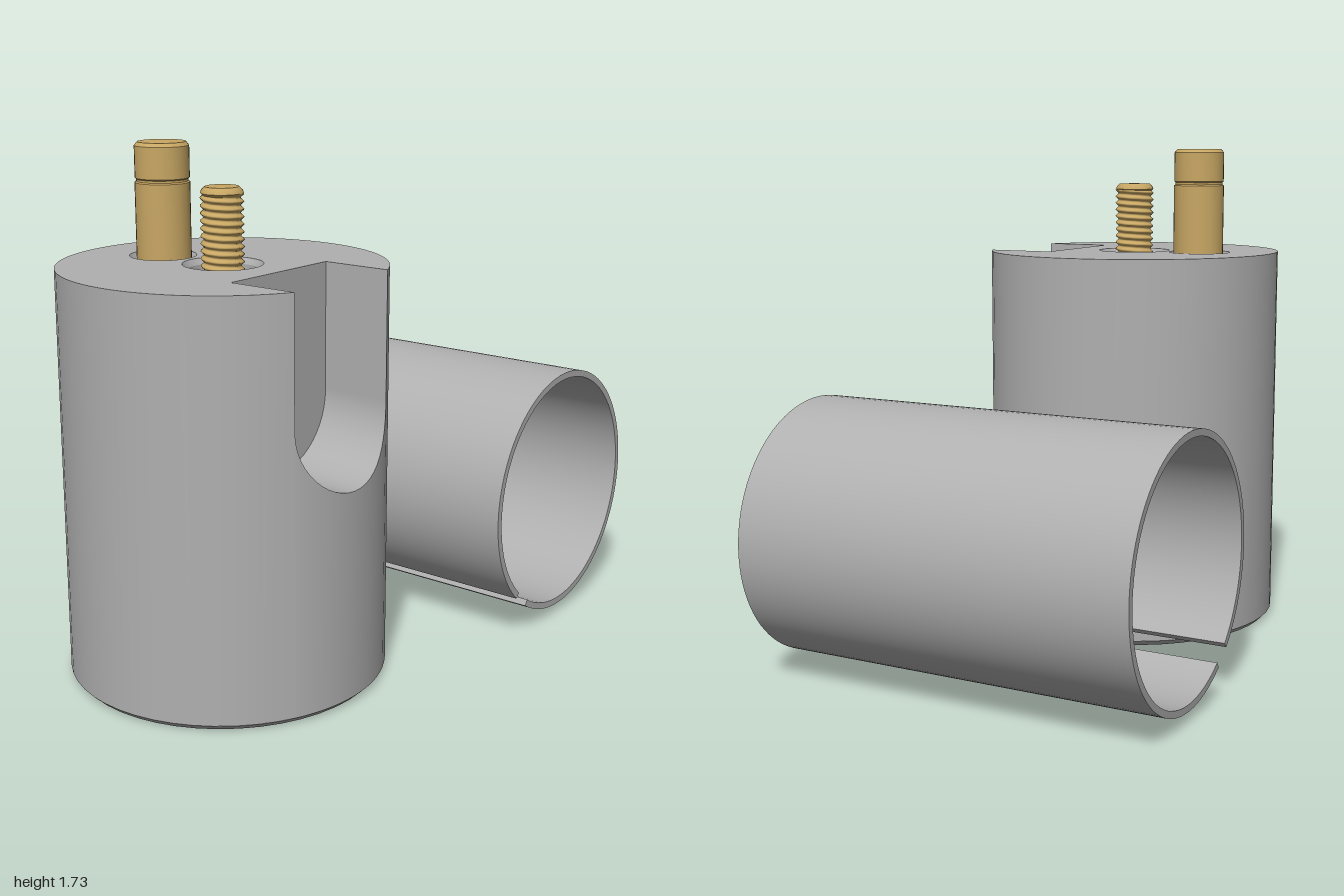
import * as THREE from 'three';
import { toCreasedNormals } from 'three/addons/utils/BufferGeometryUtils.js';

const grey = new THREE.MeshStandardMaterial({ color: 0xb0b0b0 });
grey.name = 'grey metal';
const brass = new THREE.MeshStandardMaterial({ color: 0xc8a764 });
brass.name = 'brass';

const R = 0.53, H = 1.36, BEVEL = 0.02; // body
const NR = 0.23, NZ = 0.235, NY = 0.94; // notch: half width, back plane, arc centre height
const HALF = Math.asin(NR / R);

function add(parent, name, geometry, material) {
  const mesh = new THREE.Mesh(geometry, material);
  mesh.name = name;
  parent.add(mesh);
  return mesh;
}

// Surface between two matching lines of points
function ruled(lower, upper) {
  const pos = [], index = [];
  lower.forEach((p, i) => {
    pos.push(...p, ...upper[i]);
    if (i) {
      const k = 2 * i;
      index.push(k - 2, k, k + 1, k - 2, k + 1, k - 1);
    }
  });
  const g = new THREE.BufferGeometry();
  g.setAttribute('position', new THREE.Float32BufferAttribute(pos, 3));
  g.setIndex(index);
  g.computeVertexNormals();
  return g;
}

function lathe(points, segments = 40) {
  const g = new THREE.LatheGeometry(points.map(p => new THREE.Vector2(...p)), segments);
  return toCreasedNormals(g, 0.5);
}

const steps = (n, f) => Array.from({ length: n + 1 }, (_, i) => f(i / n));

function makeBody() {
  const body = new THREE.Group();
  body.name = 'body';

  // Cylinder wall around the notch
  const wall = y => steps(44, t => {
    const a = HALF + t * 2 * (Math.PI - HALF);
    return [R * Math.sin(a), y, R * Math.cos(a)];
  });
  add(body, 'outerWall', ruled(wall(BEVEL), wall(H)), grey);

  // U-shaped notch outline, left to right
  const arc = steps(24, t => [-NR * Math.cos(Math.PI * t), NY - NR * Math.sin(Math.PI * t)]);
  const outline = [[-NR, H], ...arc, [NR, H]];
  const front = x => Math.sqrt(R * R - x * x);
  add(body, 'wallBelowNotch', ruled(
    arc.map(([x]) => [x, BEVEL, front(x)]),
    arc.map(([x, y]) => [x, y, front(x)])), grey);
  add(body, 'notchSides', ruled(
    outline.map(([x, y]) => [x, y, front(x)]),
    outline.map(([x, y]) => [x, y, NZ])), grey);
  const back = new THREE.Shape(outline.map(p => new THREE.Vector2(...p)));
  add(body, 'notchBack', new THREE.ShapeGeometry(back), grey).position.z = NZ;

  // Top face with two holes
  const top = new THREE.Shape();
  top.absarc(0, 0, R, -Math.PI / 2 + HALF, 1.5 * Math.PI - HALF, false);
  top.lineTo(-NR, -NZ);
  top.lineTo(NR, -NZ);
  top.closePath();
  for (const [z, r] of [[0, 0.13], [-0.262, 0.11]]) {
    top.holes.push(new THREE.Path().absarc(0, -z, r, 0, 2 * Math.PI, true));
    add(body, 'hole', lathe([[r, H], [r - 0.012, H - 0.02], [r - 0.012, H - 0.06], [0, H - 0.06]]), grey)
      .position.z = z;
  }
  const cap = new THREE.ShapeGeometry(top, 44);
  cap.rotateX(-Math.PI / 2);
  add(body, 'topFace', cap, grey).position.y = H;

  // Bevelled base
  add(body, 'base', lathe([[0, 0], [R - BEVEL, 0], [R, BEVEL]], 48), grey);
  return body;
}

function makeScrew() {
  const screw = new THREE.Group();
  screw.name = 'screw';
  const y0 = 1.3, y1 = 1.585, pitch = 0.024;
  const thread = new THREE.CylinderGeometry(1, 1, y1 - y0, 32, 96, true);
  thread.translate(0, (y0 + y1) / 2, 0);
  const p = thread.attributes.position;
  const uv = thread.attributes.uv;
  // Helical triangular ridge
  for (let i = 0; i < p.count; i++) {
    const s = p.getY(i) / pitch + uv.getX(i);
    const r = 0.058 + 0.013 * Math.abs(2 * (s - Math.floor(s)) - 1);
    p.setX(i, p.getX(i) * r);
    p.setZ(i, p.getZ(i) * r);
  }
  thread.computeVertexNormals();
  add(screw, 'thread', thread, brass);
  add(screw, 'screwTip', lathe([[0.058, y1 - 0.01], [0.069, y1], [0.066, 1.594], [0.055, 1.605], [0, 1.605]], 32), brass);
  return screw;
}

function makeSleeve() {
  // Thin split tube lying along z
  const start = THREE.MathUtils.degToRad(238), end = THREE.MathUtils.degToRad(587.5);
  const ring = new THREE.Shape();
  ring.absarc(0, 0, 0.435, start, end, false);
  ring.absarc(0, 0, 0.412, end, start, true);
  ring.closePath();
  const g = new THREE.ExtrudeGeometry(ring, { depth: 1.37, bevelEnabled: false, curveSegments: 44 });
  g.translate(0, 0, -0.685);
  return toCreasedNormals(g, 0.5);
}

export function createModel() {
  const model = new THREE.Group();
  model.name = 'cylinderAndSleeve';

  const block = new THREE.Group();
  block.name = 'block';
  block.position.x = -0.47;
  block.add(makeBody(), makeScrew());

  // Smooth pin with a fine groove near the top
  add(block, 'pin', lathe([
    [0.09, 1.3], [0.09, 1.6], [0.085, 1.604], [0.085, 1.611], [0.089, 1.615],
    [0.089, 1.718], [0.079, 1.73], [0, 1.73],
  ], 32), brass).position.z = -0.257;
  model.add(block);

  add(model, 'splitSleeve', makeSleeve(), grey).position.set(0.562, 0.47, 0);
  return model;
}
